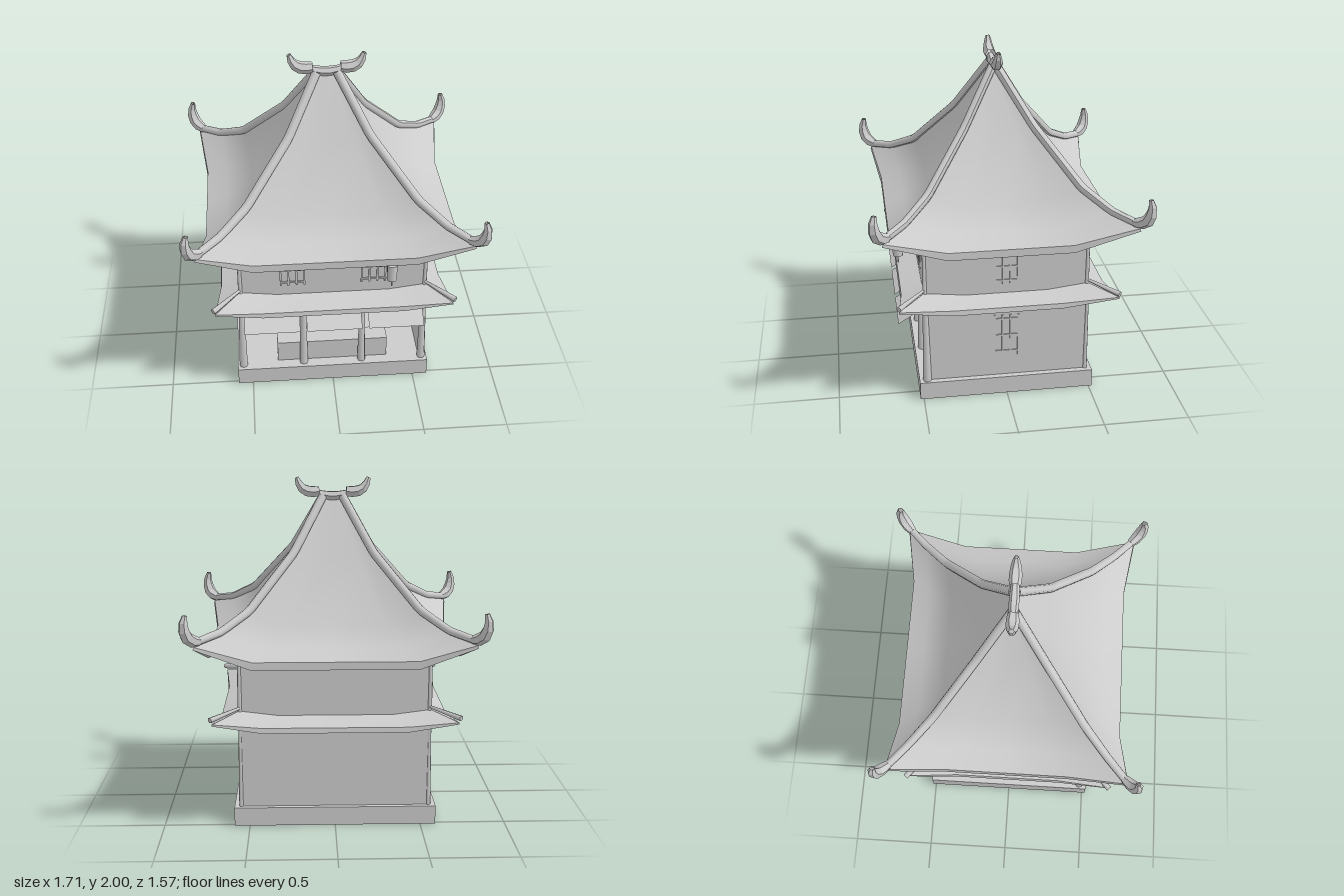
import * as THREE from 'three';

const mat = new THREE.MeshStandardMaterial({ color: 0xcccccc, side: THREE.DoubleSide });
const flat = new THREE.MeshStandardMaterial({ color: 0xcccccc, side: THREE.DoubleSide, flatShading: true });
const V = (x, y, z) => new THREE.Vector3(x, y, z);

export function createModel() {
  const model = new THREE.Group();

  function add(name, geo, parent = model, material = mat) {
    const mesh = new THREE.Mesh(geo, material);
    mesh.name = name;
    parent.add(mesh);
    return mesh;
  }

  // Box given by its minimum and maximum corners
  function box(name, [x0, y0, z0], [x1, y1, z1], parent = model) {
    const g = new THREE.BoxGeometry(x1 - x0, y1 - y0, z1 - z0);
    g.translate((x0 + x1) / 2, (y0 + y1) / 2, (z0 + z1) / 2);
    add(name, g, parent);
  }

  // Round bar between two points
  function bar(name, a, b, r0, r1, sides = 8) {
    const mesh = add(name, new THREE.CylinderGeometry(r1, r0, a.distanceTo(b), sides));
    mesh.position.copy(a).lerp(b, 0.5);
    mesh.quaternion.setFromUnitVectors(V(0, 1, 0), b.clone().sub(a).normalize());
  }

  // Tube along points whose radius follows a list of values
  function taperTube(name, points, radii, { material = flat, steps = 5, sides = 6, tension = 0.5 } = {}) {
    const curve = new THREE.CatmullRomCurve3(points, false, 'catmullrom', tension);
    const g = new THREE.TubeGeometry(curve, steps, 1, sides);
    const p = g.attributes.position;
    const v = V(0, 0, 0);
    for (let i = 0; i < p.count; i++) {
      const t = Math.floor(i / (sides + 1)) / steps;
      const k = t * (radii.length - 1);
      const j = Math.min(Math.floor(k), radii.length - 2);
      const r = THREE.MathUtils.lerp(radii[j], radii[j + 1], k - j);
      const c = curve.getPointAt(t);
      v.fromBufferAttribute(p, i).sub(c).multiplyScalar(r).add(c);
      p.setXYZ(i, v.x, v.y, v.z);
    }
    g.computeVertexNormals();
    add(name, g, model, material);
  }

  // Four swept roof sides; a row is [cornerX, cornerZ, cornerY, midX, midZ, midY]
  function roof(name, rows) {
    const group = new THREE.Group();
    group.name = name;
    model.add(group);
    for (let side = 0; side < 4; side++) {
      const odd = side % 2;
      const f = odd ? 0.5 : 0.6;
      const pos = [], index = [];
      rows.forEach(([cx, cz, cy, mx, mz, my], r) => {
        const half = odd ? cz : cx;
        [-1, -f, 0, f, 1].forEach((s, c) => {
          const corner = Math.abs(s) === 1;
          const out = odd ? (corner ? cx : mx) : (corner ? cz : mz);
          pos.push(s * half, corner ? cy : my, out);
          if (r < rows.length - 1 && c < 4) {
            const a = r * 5 + c;
            index.push(a, a + 5, a + 1, a + 5, a + 6, a + 1);
          }
        });
      });
      const g = new THREE.BufferGeometry();
      g.setAttribute('position', new THREE.Float32BufferAttribute(pos, 3));
      g.setIndex(index);
      g.computeVertexNormals();
      g.rotateY(side * Math.PI / 2);
      add(name + 'Side', g, group);
    }
  }

  // Lattice window facing +z, centred on its own origin
  function latticeWindow(name, w, h, x, y, z, turn) {
    const g = new THREE.Group();
    g.name = name;
    const t = 0.005, d = 0.006;
    for (const u of [-0.5, -0.17, 0.17, 0.5]) box('windowUpright', [u * w - t, -h / 2, -d], [u * w + t, h / 2, d], g);
    for (const u of [-0.4, 0, 0.4]) box('windowRail', [-w / 2, u * h - t, -d], [w / 2, u * h + t, d], g);
    g.position.set(x, y, z);
    g.rotation.y = turn;
    model.add(g);
  }

  // Plinth and hollow ground floor, open to the front
  box('plinth', [-0.59, 0, -0.52], [0.59, 0.11, 0.52]);
  box('groundFloorBackWall', [-0.555, 0.11, -0.49], [0.555, 0.6, -0.475]);
  for (const s of [-1, 1]) {
    const xs = [s * 0.555, s * 0.54].sort((a, b) => a - b);
    box('groundFloorSideWall', [xs[0], 0.11, -0.475], [xs[1], 0.6, 0.485]);
  }
  box('counter', [-0.34, 0.11, 0.34], [0.34, 0.25, 0.45]);
  box('floorSlab', [-0.575, 0.598, -0.5], [0.575, 0.608, 0.5]);

  // Upper floor
  box('upperFloor', [-0.555, 0.58, -0.48], [0.555, 1.04, 0.48]);

  // Posts
  for (const x of [-0.555, -0.18, 0.18, 0.555]) {
    bar('frontPost', V(x, 0.11, 0.475), V(x * 0.99, 0.6, 0.475), 0.025, 0.016);
  }
  for (const sx of [-1, 1]) {
    bar('backPost', V(sx * 0.55, 0.11, -0.482), V(sx * 0.55, 0.6, -0.482), 0.014, 0.01);
    for (const sz of [-1, 1]) {
      bar('upperPost', V(sx * 0.55, 0.6, sz * 0.476), V(sx * 0.55, 1.04, sz * 0.476), 0.014, 0.01);
    }
  }

  // Three sloping awnings
  for (const x of [-0.37, 0, 0.37]) {
    const g = new THREE.PlaneGeometry(0.33, 0.17);
    g.rotateX(-Math.atan2(0.145, 0.09));
    g.translate(x, 0.535, 0.56);
    add('awning', g);
  }

  // Windows
  for (const x of [-0.24, 0.24]) latticeWindow('frontWindow', 0.14, 0.22, x, 0.84, 0.481, 0);
  latticeWindow('upperSideWindow', 0.13, 0.22, 0.556, 0.83, 0, Math.PI / 2);
  for (const s of [-1, 1]) latticeWindow('lowerSideWindow', 0.14, 0.27, s * 0.556, 0.38, 0, s * Math.PI / 2);

  // Lower skirt roof with its eave lip and soffit
  const skirtEdge = [0.7, 0.635, 0.655, 0.665, 0.605, 0.622];
  const skirtLip = [0.7, 0.635, 0.645, 0.67, 0.61, 0.592];
  roof('skirtRoof', [[0.55, 0.475, 0.69, 0.55, 0.475, 0.662], skirtEdge]);
  roof('skirtLip', [skirtEdge, skirtLip]);
  roof('skirtSoffit', [skirtLip, [0.55, 0.475, 0.625, 0.55, 0.475, 0.615]]);

  // Main roof with its eave lip and soffit
  const eave = [0.78, 0.71, 1.12, 0.733, 0.663, 1.02];
  const lip = [0.785, 0.715, 1.105, 0.735, 0.665, 0.975];
  roof('mainRoof', [
    [0.06, 0.005, 1.87, 0.06, 0.005, 1.87],
    [0.24, 0.2, 1.555, 0.235, 0.195, 1.54],
    [0.49, 0.44, 1.25, 0.455, 0.405, 1.165],
    [0.64, 0.58, 1.165, 0.61, 0.55, 1.075],
    eave,
  ]);
  roof('mainRoofLip', [eave, lip]);
  roof('mainSoffit', [lip, [0.55, 0.475, 1.035, 0.55, 0.475, 1.02]]);

  // Hip ridges and curled corner tips on both roofs
  for (const sx of [-1, 1]) {
    for (const sz of [-1, 1]) {
      const P = (x, y, z) => V(sx * x, y, sz * z);
      taperTube('hipRidge', [
        P(0.06, 1.88, 0.01), P(0.235, 1.565, 0.2), P(0.49, 1.265, 0.44), P(0.64, 1.175, 0.58), P(0.77, 1.145, 0.7),
      ], [0.026, 0.026, 0.026, 0.022], { material: mat, steps: 30, sides: 8, tension: 0 });
      taperTube('cornerTip', [
        P(0.755, 1.145, 0.685), P(0.805, 1.17, 0.735), P(0.828, 1.24, 0.758), P(0.818, 1.305, 0.75),
      ], [0.026, 0.038, 0.036, 0.028, 0.014]);
      bar('skirtHip', P(0.54, 0.708, 0.47), P(0.71, 0.68, 0.635), 0.008, 0.017, 6);
    }
  }

  // Top ridge with upswept ends
  taperTube('topRidge', [V(-0.1, 1.9, 0), V(0, 1.882, 0), V(0.1, 1.9, 0)], [0.022, 0.03, 0.022]);
  for (const s of [-1, 1]) {
    taperTube('ridgeEnd', [
      V(s * 0.08, 1.91, 0), V(s * 0.14, 1.908, 0), V(s * 0.19, 1.935, 0), V(s * 0.215, 1.992, 0),
    ], [0.03, 0.038, 0.034, 0.026, 0.013]);
  }

  // Hanging lantern
  add('lantern', new THREE.CylinderGeometry(0.03, 0.03, 0.105, 10)).position.set(0.33, 0.89, 0.61);
  bar('lanternCord', V(0.33, 0.94, 0.61), V(0.33, 0.965, 0.61), 0.003, 0.003, 5);
  bar('lanternTassel', V(0.33, 0.79, 0.61), V(0.33, 0.84, 0.61), 0.005, 0.003, 5);

  return model;
}
